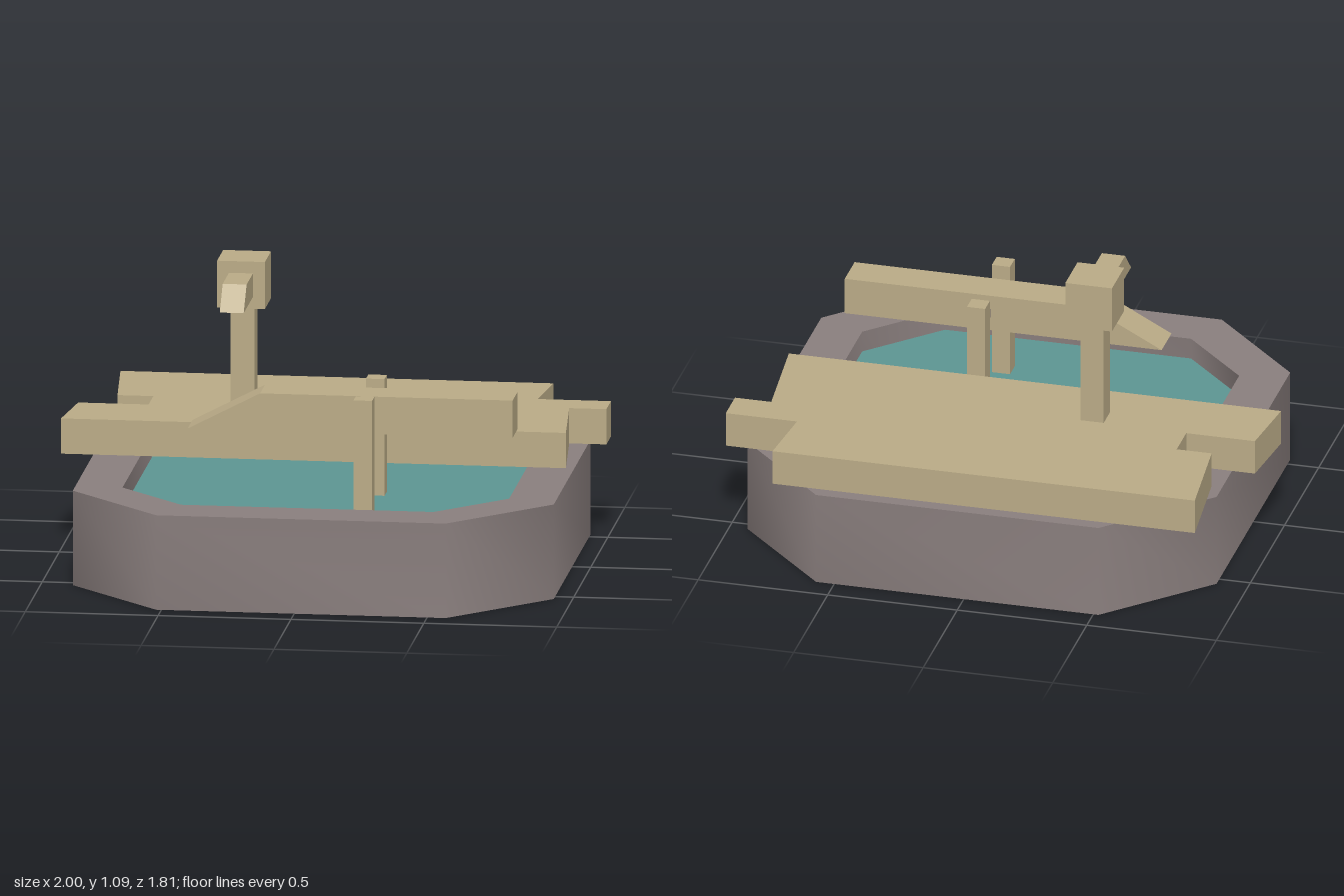
import * as THREE from 'three';
import { toCreasedNormals } from 'three/addons/utils/BufferGeometryUtils.js';

const wood = new THREE.MeshStandardMaterial({ color: 0xb9aa86 });
wood.name = 'wood';
const stone = new THREE.MeshStandardMaterial({ color: 0x897e7d });
stone.name = 'stone';
const water = new THREE.MeshStandardMaterial({ color: 0x5c9591 });
water.name = 'water';

const toPoints = (pts) => pts.map(([a, b]) => new THREE.Vector2(a, b));

// Octagon with cut corners: hx, hz half sizes; cx, cz where the cuts begin
function octagon(hx, hz, cx, cz) {
  const x0 = 0.025;
  return toPoints([
    [x0 + hx, -cz], [x0 + hx, cz], [x0 + cx, hz], [x0 - cx, hz],
    [x0 - hx, cz], [x0 - hx, -cz], [x0 - cx, -hz], [x0 + cx, -hz],
  ]);
}

const extrude = (shape, depth) =>
  new THREE.ExtrudeGeometry(shape, { depth, bevelEnabled: false, steps: 1 });

export function createModel() {
  const model = new THREE.Group();
  model.name = 'waterBasin';

  const add = (name, geometry, material, parent = model) => {
    const mesh = new THREE.Mesh(geometry, material);
    mesh.name = name;
    parent.add(mesh);
    return mesh;
  };
  // Box given by its lower and upper corners
  const box = (name, lo, hi, material, parent) => {
    const geometry = new THREE.BoxGeometry(hi[0] - lo[0], hi[1] - lo[1], hi[2] - lo[2]);
    const mesh = add(name, geometry, material, parent);
    mesh.position.set((lo[0] + hi[0]) / 2, (lo[1] + hi[1]) / 2, (lo[2] + hi[2]) / 2);
    return mesh;
  };

  // Stone basin: softly shaded walls, flat rim
  const outer = octagon(0.905, 0.905, 0.545, 0.54);
  const inner = octagon(0.7275, 0.72, 0.475, 0.465);
  const rim = new THREE.Shape(outer);
  rim.holes.push(new THREE.Path(inner));
  add('basin', toCreasedNormals(extrude(rim, 0.362).rotateX(-Math.PI / 2), Math.PI / 3), stone);
  add('basinFloor', new THREE.ShapeGeometry(new THREE.Shape(inner)).rotateX(Math.PI / 2), stone);
  const surface = new THREE.ShapeGeometry(new THREE.Shape(inner)).rotateX(-Math.PI / 2);
  add('waterSurface', surface, water).position.y = 0.28;

  // Deck of uneven planks, outlined in x and z
  const deckOutline = [
    [-0.88, -0.86], [0.75, -0.86], [0.725, -0.595], [1, -0.595], [1, -0.46], [0.86, -0.46],
    [0.9, -0.05], [-1, -0.05], [-0.97, -0.32], [-0.705, -0.32], [-0.705, -0.46], [-0.84, -0.46],
  ].map(([x, z]) => [x, -z]);
  const deck = extrude(new THREE.Shape(toPoints(deckOutline)), 0.135).rotateX(-Math.PI / 2);
  add('deck', deck, wood).position.y = 0.365;

  // Spout tower
  const tower = new THREE.Group();
  tower.name = 'spoutTower';
  model.add(tower);
  box('towerPost', [-0.385, 0.5, -0.315], [-0.295, 0.91, -0.225], wood, tower);
  box('towerHead', [-0.43, 0.91, -0.365], [-0.25, 1.09, -0.185], wood, tower);
  const spoutSide = toPoints([[-0.185, 0.955], [0.087, 0.955], [0, 1.045], [-0.185, 1.045]]);
  const spout = extrude(new THREE.Shape(spoutSide), 0.09).rotateY(-Math.PI / 2);
  add('spout', spout, wood, tower).position.x = -0.295;

  // Rocking beam on an axle between two posts
  const rocker = new THREE.Group();
  rocker.name = 'rocker';
  model.add(rocker);
  for (const [name, z] of [['backPost', 0.055], ['frontPost', 0.42]]) {
    box(name, [0.17, 0.275, z], [0.24, 0.727, z + 0.07], wood, rocker);
  }
  box('axle', [0.188, 0.62, 0.125], [0.222, 0.655, 0.42], stone, rocker);
  const beamSide = toPoints([[-0.473, 0.567], [0.75, 0.567], [0.75, 0.71], [-0.2, 0.71]]);
  add('beam', extrude(new THREE.Shape(beamSide), 0.145), wood, rocker).position.z = 0.2;

  return model;
}
